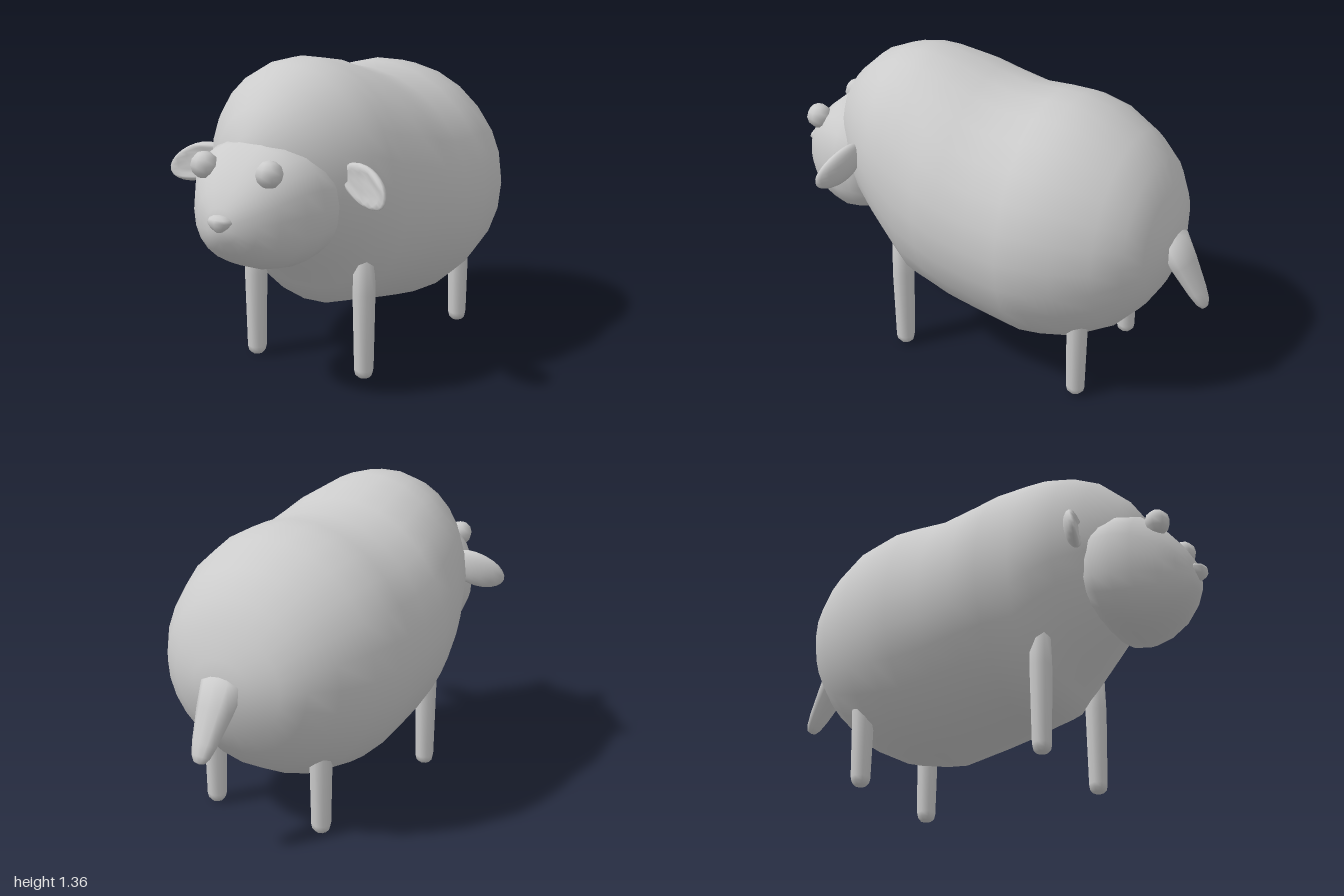
import * as THREE from 'three';
import { mergeVertices } from 'three/addons/utils/BufferGeometryUtils.js';

const material = new THREE.MeshStandardMaterial({ color: 0xcccccc });

function add(parent, name, geometry, x = 0, y = 0, z = 0) {
  const mesh = new THREE.Mesh(geometry, material);
  mesh.name = name;
  mesh.position.set(x, y, z);
  parent.add(mesh);
  return mesh;
}

// Skin over rounded sections [z, halfWidth, top, bottom], listed front to back
function loft(sections, sides, power = 2) {
  const positions = [], index = [];
  const round = (v) => Math.sign(v) * Math.abs(v) ** (2 / power);
  sections.forEach(([z, w, top, bottom], i) => {
    for (let j = 0; j < sides; j++) {
      const a = (j / sides) * Math.PI * 2;
      positions.push(w * round(Math.cos(a)), (top + bottom) / 2 + ((top - bottom) / 2) * round(Math.sin(a)), z);
      if (i === sections.length - 1) continue;
      const p = i * sides + j, q = i * sides + ((j + 1) % sides);
      index.push(p, p + sides, q, q, p + sides, q + sides);
    }
  });
  let geometry = new THREE.BufferGeometry();
  geometry.setAttribute('position', new THREE.Float32BufferAttribute(positions, 3));
  geometry.setIndex(index);
  geometry = mergeVertices(geometry, 1e-5);
  geometry.computeVertexNormals();
  return geometry;
}

function lathe(points, sides) {
  return new THREE.LatheGeometry(points.map(([r, y]) => new THREE.Vector2(r, y)), sides);
}

// Move every vertex by a rule and refresh the normals
function reshape(geometry, rule) {
  geometry.deleteAttribute('uv');
  geometry.deleteAttribute('normal');
  const merged = mergeVertices(geometry, 1e-5);
  const p = merged.attributes.position, v = new THREE.Vector3();
  for (let i = 0; i < p.count; i++) {
    rule(v.fromBufferAttribute(p, i));
    p.setXYZ(i, v.x, v.y, v.z);
  }
  merged.computeVertexNormals();
  return merged;
}

export function createModel() {
  const model = new THREE.Group();
  model.name = 'sheep';

  // Woolly body with a dip in the back
  add(model, 'body', loft([
    [0.76, 0, 0.98, 0.98],
    [0.745, 0.11, 1.10, 0.83],
    [0.68, 0.22, 1.20, 0.69],
    [0.57, 0.325, 1.30, 0.565],
    [0.46, 0.4, 1.345, 0.46],
    [0.37, 0.44, 1.36, 0.365],
    [0.29, 0.465, 1.357, 0.275],
    [0.16, 0.508, 1.33, 0.25],
    [0.05, 0.531, 1.292, 0.225],
    [-0.1, 0.537, 1.256, 0.193],
    [-0.25, 0.546, 1.26, 0.163],
    [-0.35, 0.542, 1.258, 0.173],
    [-0.48, 0.515, 1.225, 0.2],
    [-0.63, 0.44, 1.14, 0.28],
    [-0.73, 0.355, 1.045, 0.385],
    [-0.79, 0.265, 0.93, 0.48],
    [-0.83, 0.14, 0.81, 0.59],
    [-0.845, 0, 0.7, 0.7],
  ], 26), 0, 0, 0);

  // Head, set into the front of the body
  const head = new THREE.Group();
  head.name = 'head';
  model.add(head);
  add(head, 'face', loft([
    [0.968, 0, 0.775, 0.775],
    [0.95, 0.075, 0.85, 0.71],
    [0.91, 0.145, 0.92, 0.655],
    [0.85, 0.21, 0.995, 0.6],
    [0.76, 0.275, 1.07, 0.558],
    [0.68, 0.308, 1.08, 0.546],
    [0.6, 0.318, 1.06, 0.562],
    [0.54, 0.29, 1.03, 0.6],
    [0.47, 0.2, 0.96, 0.68],
    [0.43, 0, 0.82, 0.82],
  ], 22, 2.35));

  // Eyes
  for (const s of [-1, 1]) {
    add(head, s > 0 ? 'leftEye' : 'rightEye', new THREE.SphereGeometry(0.056, 8, 6), s * 0.157, 0.985, 0.845);
  }

  // Nose: broad above, pointed below
  add(head, 'nose', reshape(new THREE.SphereGeometry(1, 8, 6), (v) => {
    if (v.y < 0) v.x *= 1 + 0.5 * v.y;
    v.set(v.x * 0.058, v.y * (v.y > 0 ? 0.027 : 0.045), v.z * 0.04);
  }), 0, 0.8, 0.96);

  // Drooping ears, hollowed in front and curving forward at the tip
  for (const s of [-1, 1]) {
    const geometry = reshape(new THREE.SphereGeometry(1, 16, 12), (v) => {
      const edge = Math.hypot(v.x, v.y);
      const depth = v.z > 0 ? (edge > 0.75 ? 0.035 : 0.015) : 0.04;
      const bend = 0.035 * v.x * s + 0.015 * v.x * v.x;
      v.set(v.x * 0.13, v.y * 0.078, v.z * depth + bend);
    });
    const ear = add(head, s > 0 ? 'leftEar' : 'rightEar', geometry, s * 0.405 + 0.012, 0.912, 0.562);
    ear.rotation.z = -s * 0.36;
  }

  // Legs: slim posts with rounded feet
  const leg = lathe([[0, 0], [0.025, 0.004], [0.038, 0.018], [0.043, 0.04], [0.05, 0.38], [0.045, 0.56], [0, 0.6]], 8);
  for (const [end, z] of [['front', 0.347], ['back', -0.515]]) {
    add(model, end + 'LeftLeg', leg, 0.285, 0, z);
    add(model, end + 'RightLeg', leg, -0.27, 0, z);
  }

  // Hanging tail, tapering to a blunt tip
  const tail = add(model, 'tail', lathe([
    [0, -0.39], [0.025, -0.385], [0.043, -0.36], [0.058, -0.31], [0.085, -0.17], [0.1, -0.06], [0, 0],
  ], 10), 0, 0.755, -0.785);
  tail.scale.z = 0.62;
  tail.rotation.x = 0.53;

  return model;
}
